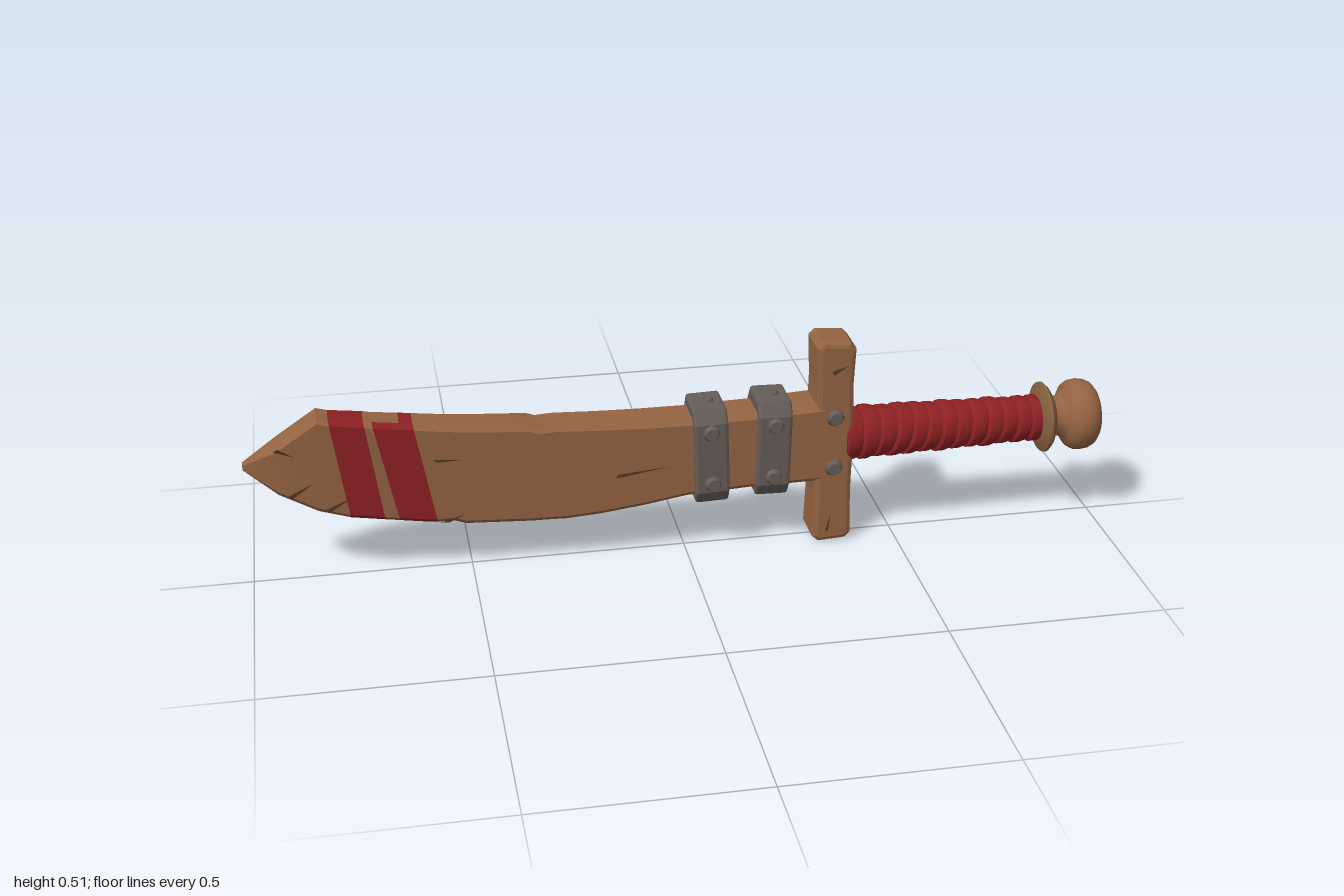
import * as THREE from 'three';
import { toCreasedNormals } from 'three/addons/utils/BufferGeometryUtils.js';

const mat = (name, color, side = THREE.FrontSide) => {
  const m = new THREE.MeshStandardMaterial({ color, side });
  m.name = name;
  return m;
};

export function createModel() {
  const wood = mat('wood', 0x946442);
  const red = mat('red cloth and paint', 0x8e2124);
  const metal = mat('dull metal', 0x655d58);
  const collarWood = mat('collar wood', 0x86623f);
  const crackWood = mat('dark crack', 0x553823, THREE.DoubleSide);

  const root = new THREE.Group();
  root.name = 'woodenSword';
  const add = (name, geometry, material, parent = root) => {
    const mesh = new THREE.Mesh(geometry, material);
    mesh.name = name;
    parent.add(mesh);
    return mesh;
  };
  const axisY = 0.257;

  // Blade: slanted chamfered sections, [xTop, yTop, xBottom, yBottom, colour of next span]
  // spans: 0 wood, 1 red all round, 2 red on all but the spine
  const half = x => Math.min(0.05 + 0.016 * x, 0.008 + (x + 1) * 0.36);
  const stations = [
    [-1, 0.303, -1, 0.288, 0], [-0.925, 0.35, -0.925, 0.228, 0],
    [-0.83, 0.413, -0.84, 0.18, 0], [-0.805, 0.406, -0.77, 0.158, 1],
    [-0.728, 0.396, -0.693, 0.146, 0], [-0.71, 0.392, -0.66, 0.141, 2],
    [-0.65, 0.385, -0.6, 0.132, 1], [-0.62, 0.381, -0.575, 0.129, 0],
    [-0.55, 0.372, -0.54, 0.13, 0], [-0.5, 0.367, -0.51, 0.12, 0],
    [-0.36, 0.357, -0.36, 0.113, 0], [-0.34, 0.35, -0.33, 0.113, 0],
    [-0.3, 0.352, -0.28, 0.112, 0], [-0.2, 0.347, -0.2, 0.118, 0],
    [-0.1, 0.344, -0.1, 0.131, 0], [0, 0.343, 0, 0.148, 0],
    [0.15, 0.346, 0.15, 0.157, 0], [0.32, 0.355, 0.32, 0.16, 0],
  ];
  const rings = stations.map(([xt, yt, xb, yb]) => {
    const c = Math.min(0.012, half(xt) * 0.35, (yt - yb) * 0.3);
    const corner = (y, side, inset) => {
      const x = THREE.MathUtils.mapLinear(y, yb, yt, xb, xt);
      return [x, y, side * (half(x) - inset)];
    };
    return [
      corner(yt, -1, c), corner(yt, 1, c), corner(yt - c, 1, 0), corner(yb + c, 1, 0),
      corner(yb, 1, c), corner(yb, -1, c), corner(yb + c, -1, 0), corner(yt - c, -1, 0),
    ];
  });
  const faces = [[], []];
  for (let i = 0; i < rings.length - 1; i++) {
    for (let k = 0; k < 8; k++) {
      const span = stations[i][4];
      const paint = span === 1 || (span === 2 && k !== 0 && k !== 7) ? 1 : 0;
      const [a, b] = [rings[i][k], rings[i][(k + 1) % 8]];
      const [d, c] = [rings[i + 1][k], rings[i + 1][(k + 1) % 8]];
      faces[paint].push(...a, ...b, ...c, ...a, ...c, ...d);
    }
  }
  for (let k = 1; k < 7; k++) faces[0].push(...rings[0][0], ...rings[0][k + 1], ...rings[0][k]);
  const bladeGeo = new THREE.BufferGeometry();
  bladeGeo.setAttribute('position', new THREE.Float32BufferAttribute(faces.flat(), 3));
  const woodCount = faces[0].length / 3;
  bladeGeo.addGroup(0, woodCount, 0);
  bladeGeo.addGroup(woodCount, faces[1].length / 3, 1);
  add('blade', toCreasedNormals(bladeGeo, 0.4), [wood, red]);

  // Thin cracks: one triangle each
  const triangle = (name, pts) => {
    const g = new THREE.BufferGeometry();
    g.setAttribute('position', new THREE.Float32BufferAttribute(pts.flat(), 3));
    g.computeVertexNormals();
    add(name, g, crackWood);
  };
  const bladeCracks = [
    [[-0.17, 0.211], [-0.04, 0.232], [-0.16, 0.221]],
    [[-0.58, 0.294], [-0.515, 0.288], [-0.57, 0.286]],
    [[-0.91, 0.226], [-0.845, 0.258], [-0.895, 0.222]],
    [[-0.83, 0.186], [-0.765, 0.214], [-0.815, 0.18]],
    [[-0.57, 0.133], [-0.51, 0.152], [-0.55, 0.132]],
    [[-0.93, 0.34], [-0.885, 0.325], [-0.92, 0.347]],
  ];
  for (const s of [1, -1]) {
    for (const c of bladeCracks) {
      triangle('bladeCrack', c.map(([x, y]) => [x, y, s * (half(x) + 0.0015)]));
    }
    triangle('guardCrack', [[0.335, 0.44, s * 0.0545], [0.372, 0.452, s * 0.0545], [0.34, 0.43, s * 0.0545]]);
    triangle('guardCrack', [[0.33, 0.03, s * 0.0545], [0.342, 0.075, s * 0.0545], [0.337, 0.03, s * 0.0545]]);
  }
  triangle('guardSideCrack', [[0.394, 0.03, 0], [0.394, 0.43, -0.026], [0.394, 0.43, -0.034]]);

  // Bevelled prism from an outline, centred on its depth
  const prism = (pts, depth, bevel) => {
    const g = new THREE.ExtrudeGeometry(new THREE.Shape(pts.map(p => new THREE.Vector2(...p))), {
      depth: depth - 2 * bevel, bevelThickness: bevel, bevelSize: bevel,
      bevelOffset: -bevel, bevelSegments: 2,
    });
    return g.translate(0, 0, -depth / 2 + bevel);
  };

  // Cross guard with worn, uneven sides
  add('crossGuard', prism([
    [0.315, 0], [0.38, 0.004], [0.393, 0.018], [0.39, 0.13], [0.393, 0.25], [0.389, 0.4],
    [0.393, 0.49], [0.38, 0.505], [0.315, 0.511], [0.3, 0.497], [0.304, 0.4], [0.3, 0.25],
    [0.304, 0.12], [0.3, 0.014],
  ], 0.106, 0.011), wood);

  // Bolts: flattened domes
  const boltGeo = new THREE.CylinderGeometry(0.015, 0.023, 0.014, 8);
  const bolt = (parent, x, y, z, axis) => {
    const b = add('bolt', boltGeo, metal, parent);
    b.position.set(x, y, z);
    b.rotation.x = axis === 'z' ? Math.sign(z) * Math.PI / 2 : y > 0 ? 0 : Math.PI;
  };
  for (const s of [1, -1]) for (const y of [0.195, 0.323]) bolt(root, 0.346, y, s * 0.058, 'z');

  // Metal straps round the blade
  const w = 0.067, h = 0.118, c = 0.02;
  for (const [x, y, tilt] of [[0.055, 0.25, 0.03], [0.201, 0.256, -0.025]]) {
    const strap = new THREE.Group();
    strap.name = 'strap';
    strap.position.set(x, y, 0);
    strap.rotation.z = tilt;
    root.add(strap);
    add('strapBand', prism([
      [w - c, -h], [w, -h + c * 1.6], [w, h - c * 1.6], [w - c, h],
      [c - w, h], [-w, h - c * 1.6], [-w, c * 1.6 - h], [c - w, -h],
    ], 0.08, 0.007).rotateY(Math.PI / 2), metal, strap);
    for (const s of [1, -1]) {
      for (const by of [-0.065, 0.065]) bolt(strap, 0, by, s * 0.07, 'z');
      bolt(strap, 0, s * (h - 0.001), 0, 'y');
    }
  }

  // Turned part along the handle axis, profile points are [radius, x]
  const turned = (pts, sides) => new THREE.LatheGeometry(
    pts.map(p => new THREE.Vector2(...p)), sides).rotateZ(-Math.PI / 2).translate(0, axisY, 0);

  // Grip: overlapping cloth turns, leaning alternately along the handle
  const turns = 13, x0 = 0.375, x1 = 0.862, gripPts = [];
  for (let i = 0; i < turns; i++) {
    const r = 0.063 - 0.0105 * i / turns + 0.0015 * Math.sin(i * 2.3);
    const step = (x1 - x0) / turns, x = x0 + i * step;
    gripPts.push([r - 0.006, x], [r + 0.001, x + step * 0.15], [r + 0.001, x + step * 0.6], [r - 0.004, x + step * 0.97]);
  }
  const gripGeo = turned(gripPts, 28);
  const p = gripGeo.attributes.position;
  for (let i = 0; i < p.count; i++) {
    const x = p.getX(i), fade = Math.sin(Math.PI * (x - x0) / (x1 - x0));
    const lean = 0.25 + 0.1 * Math.sin(x * 17);
    p.setX(i, x + fade * lean * (p.getY(i) - axisY + 0.5 * p.getZ(i)));
  }
  add('gripWrap', toCreasedNormals(gripGeo, 0.5), red);

  // Collar and rounded pommel
  add('collar', toCreasedNormals(turned([
    [0, 0.85], [0.05, 0.85], [0.068, 0.856], [0.083, 0.862], [0.084, 0.868],
    [0.075, 0.877], [0.06, 0.885], [0.045, 0.89],
  ], 32), 0.6), collarWood);
  add('pommel', toCreasedNormals(turned([
    [0.05, 0.88], [0.047, 0.895], [0.05, 0.91], [0.063, 0.918], [0.076, 0.926], [0.083, 0.938],
    [0.085, 0.953], [0.083, 0.97], [0.076, 0.984], [0.063, 0.994], [0.04, 0.999], [0, 1],
  ], 32), 0.9), wood);

  return root;
}
